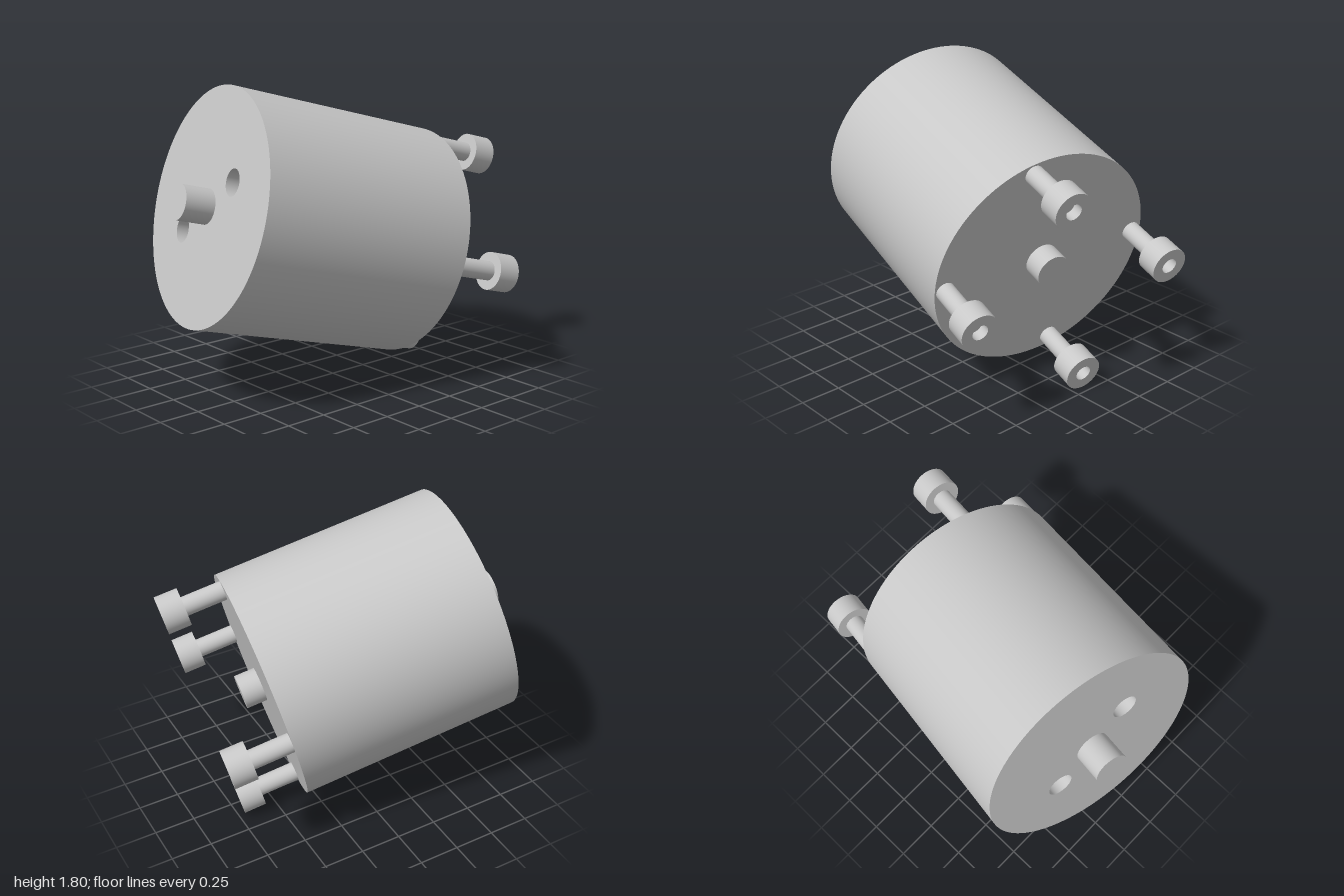
import * as THREE from 'three';
import { mergeGeometries } from 'three/addons/utils/BufferGeometryUtils.js';

const R = 0.697, LENGTH = 1.34;   // motor body, running from y = -LENGTH to y = 0 locally
const HOLE_X = 0.303, HOLE_R = 0.078;

// Turned solid with sharp edges: each profile segment is its own lathe band
function turned(profile, sides = 64) {
  const pts = profile.map(([x, y]) => new THREE.Vector2(x, y));
  return mergeGeometries(pts.slice(1).map((p, i) => new THREE.LatheGeometry([pts[i], p], sides)));
}

export function createModel() {
  const grey = new THREE.MeshStandardMaterial({ color: 0xc8c8c8 });
  grey.name = 'grey metal';
  const model = new THREE.Group();
  model.name = 'motor';

  const add = (name, geometry, x = 0, z = 0) => {
    const mesh = new THREE.Mesh(geometry, grey);
    mesh.name = name;
    mesh.position.set(x, 0, z);
    model.add(mesh);
  };

  // Body: side wall and mounting face
  add('body', turned([[R, -LENGTH], [R, 0], [0, 0]], 128));

  // Rear face with two round holes
  const face = new THREE.Shape().absarc(0, 0, R, 0, Math.PI * 2);
  for (const s of [-1, 1]) {
    face.holes.push(new THREE.Path().absarc(s * HOLE_X, 0, HOLE_R, 0, Math.PI * 2, true));
  }
  add('rearFace', new THREE.ShapeGeometry(face, 64).rotateX(Math.PI / 2).translate(0, -LENGTH, 0));

  // Blind bores behind the holes
  const bore = turned([[0, 0.25 - LENGTH], [HOLE_R, 0.25 - LENGTH], [HOLE_R, -LENGTH]]);
  for (const s of [-1, 1]) add('bore', bore, s * HOLE_X);

  // Shaft through both ends
  add('shaft', turned([[0, -LENGTH - 0.18], [0.103, -LENGTH - 0.18], [0.103, 0.125], [0, 0.125]]));

  // Four socket-head screws on the mounting face
  const screw = turned([
    [0.057, -0.1], [0.057, 0.24], [0.113, 0.24], [0.113, 0.378],
    [0.048, 0.378], [0.048, 0.313], [0, 0.313],
  ]);
  for (const sx of [-1, 1]) for (const sz of [-1, 1]) add('screw', screw, sx * 0.484, sz * 0.404);

  // Tilt the motor: local y follows the shaft, local x the line through the holes
  const axis = new THREE.Vector3(0.955, -0.245, 0.168).normalize();
  const across = new THREE.Vector3(0, 0.563, 0.826);
  across.addScaledVector(axis, -across.dot(axis)).normalize();
  const up = new THREE.Vector3().crossVectors(across, axis);
  model.quaternion.setFromRotationMatrix(new THREE.Matrix4().makeBasis(across, axis, up));
  model.position.set(0.485, 0.796, 0.06);

  const root = new THREE.Group();
  root.name = 'tiltedMotor';
  root.add(model);
  return root;
}
